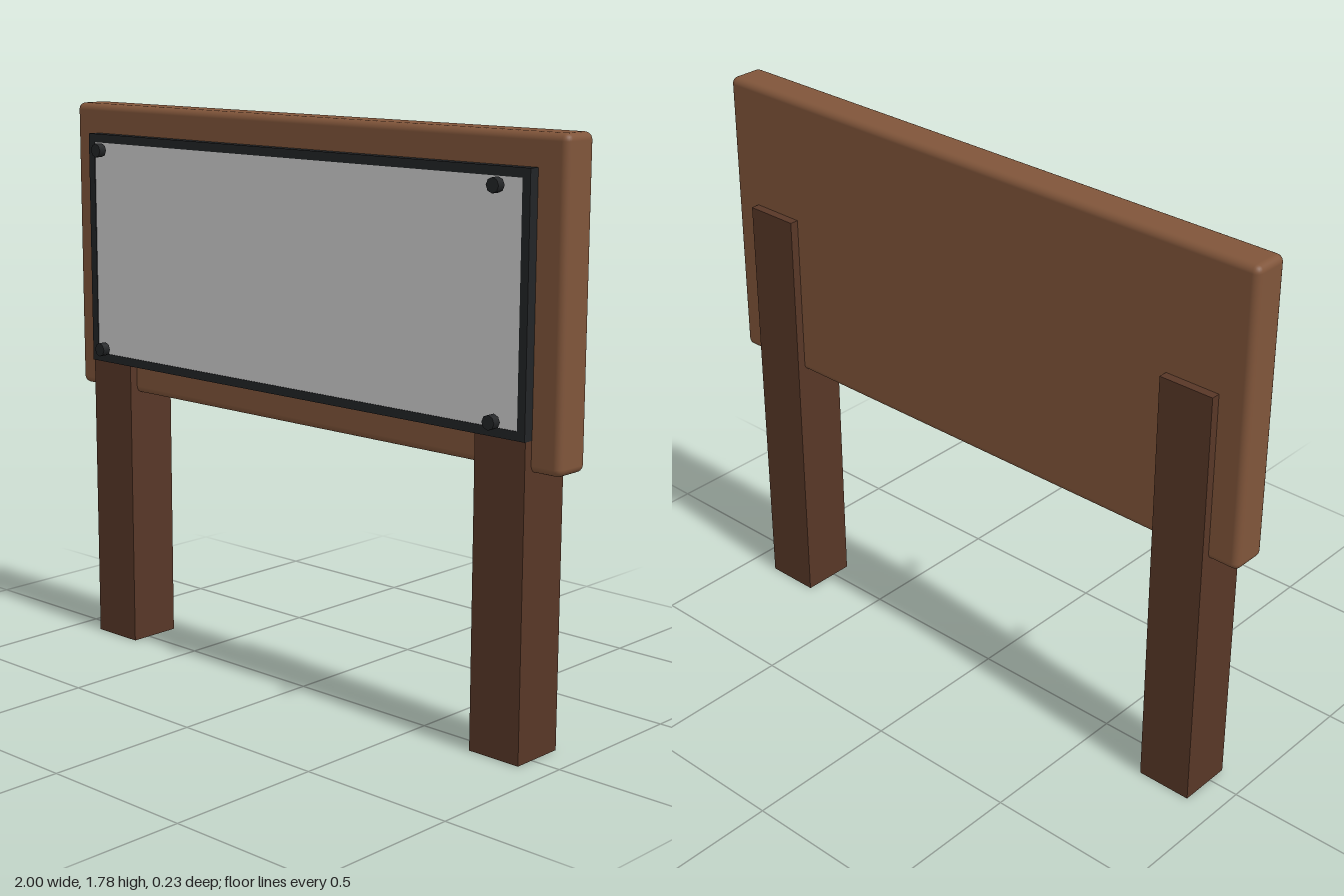
import * as THREE from 'three';
import { RoundedBoxGeometry } from 'three/addons/geometries/RoundedBoxGeometry.js';

const material = (name, color) => {
  const m = new THREE.MeshStandardMaterial({ color });
  m.name = name;
  return m;
};

export function createModel() {
  const boardWood = material('boardWood', 0x80553a);
  const postWood = material('postWood', 0x583727);
  const darkMetal = material('darkMetal', 0x222426);
  const panelGrey = material('panelGrey', 0xcecece);

  const group = new THREE.Group();
  group.name = 'signBoard';
  const add = (name, geometry, mat, x, y, z) => {
    const mesh = new THREE.Mesh(geometry, mat);
    mesh.name = name;
    mesh.position.set(x, y, z);
    group.add(mesh);
    return mesh;
  };

  // Wide wooden board with softened edges
  add('board', new RoundedBoxGeometry(2, 0.935, 0.12, 3, 0.022), boardWood, 0, 1.315, -0.025);

  // Two posts running through the board
  for (const side of [-1, 1]) {
    const name = side > 0 ? 'leftPost' : 'rightPost';
    add(name, new THREE.BoxGeometry(0.178, 1.38, 0.176), postWood, side * 0.813, 0.69, -0.025);
  }

  // Frame: a rectangle with a rectangular opening
  const rect = (Type, w, h) => new Type([
    new THREE.Vector2(-w, -h), new THREE.Vector2(w, -h),
    new THREE.Vector2(w, h), new THREE.Vector2(-w, h),
  ]);
  const outline = rect(THREE.Shape, 0.903, 0.374);
  outline.holes.push(rect(THREE.Path, 0.876, 0.347));
  const frameGeometry = new THREE.ExtrudeGeometry(outline, { depth: 0.04, bevelEnabled: false });
  add('frame', frameGeometry, darkMetal, 0, 1.314, 0.028);

  // Display panel set inside the frame
  add('panel', new THREE.BoxGeometry(1.752, 0.694, 0.004), panelGrey, 0, 1.314, 0.0635);

  // Corner fasteners standing off the panel
  const bolt = new THREE.CylinderGeometry(0.022, 0.022, 0.026, 8);
  bolt.rotateX(Math.PI / 2);
  for (const x of [-0.813, 0.813]) {
    for (const y of [0.99, 1.64]) add('bolt', bolt, darkMetal, x, y, 0.105);
  }

  return group;
}
